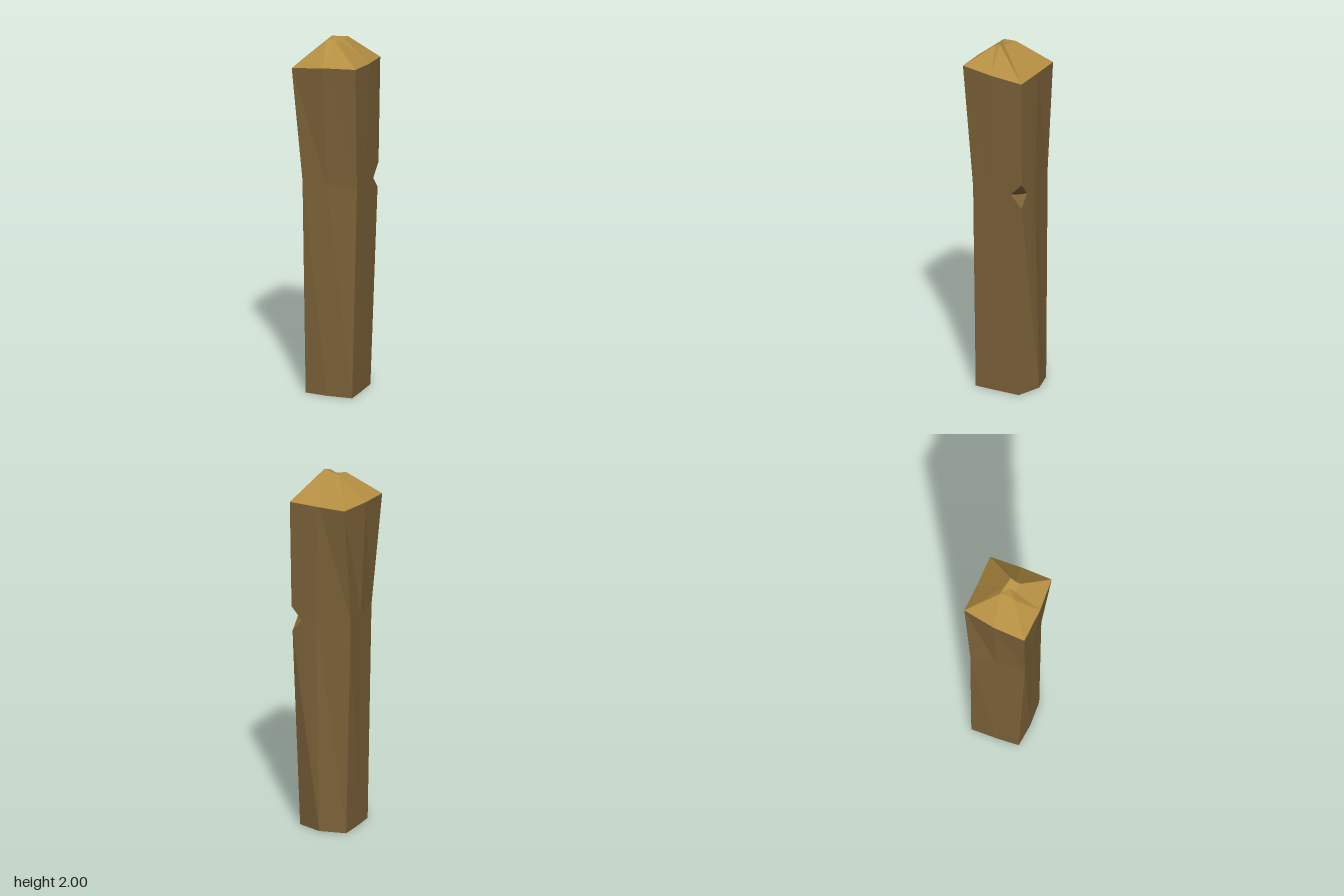
import * as THREE from 'three';

// Rings of eight [x, y, z] points: front left corner, front middle, front right
// corner, right middle, back right corner, back middle, back left corner, left middle
const foot = [[-0.13, 0, 0.12], [0, 0, 0.13], [0.14, 0, 0.12], [0.14, 0, 0],
  [0.137, 0, -0.145], [-0.005, 0, -0.19], [-0.15, 0, -0.15], [-0.142, 0, 0]];
const waist = [[-0.133, 1.21, 0.157], [0, 1.2, 0.142], [0.168, 1.18, 0.12], [0.168, 1.18, 0],
  [0.168, 1.18, -0.18], [0.02, 1.19, -0.178], [-0.175, 1.21, -0.145], [-0.155, 1.21, 0]];
const eave = [[-0.187, 1.845, 0.178], [0, 1.87, 0.188], [0.182, 1.88, 0.175], [0.186, 1.86, 0],
  [0.178, 1.845, -0.185], [0, 1.845, -0.184], [-0.16, 1.85, -0.187], [-0.187, 1.85, 0]];
const tip = [[-0.04, 1.98, 0.048], [0.008, 1.972, 0.033], [0.058, 1.98, 0.046], [0.056, 1.99, 0.018],
  [0.062, 2, -0.011], [0.005, 1.99, -0.024], [-0.038, 1.985, -0.028], [-0.036, 1.985, 0]];

// Notch on the back right corner edge
const notch = {
  top: [0.169, 1.25, -0.182], bottom: [0.165, 1.11, -0.178],
  side: [0.167, 1.18, -0.112], back: [0.108, 1.18, -0.18], inner: [0.125, 1.17, -0.135],
};

// Flat-shaded mesh from polygons, each split as a fan from its first corner
function polyMesh(name, polygons, color) {
  const pos = [];
  for (const p of polygons) {
    for (let i = 1; i < p.length - 1; i++) pos.push(...p[0], ...p[i], ...p[i + 1]);
  }
  const geo = new THREE.BufferGeometry();
  geo.setAttribute('position', new THREE.Float32BufferAttribute(pos, 3));
  geo.computeVertexNormals();
  const mesh = new THREE.Mesh(geo, new THREE.MeshStandardMaterial({ color, flatShading: true }));
  mesh.name = name;
  return mesh;
}

// Polygons joining a lower ring to an upper ring
function band(low, up) {
  return low.map((a, i) => {
    const j = (i + 1) % low.length;
    return [up[i], a, low[j], up[j]];
  });
}

export function createModel() {
  const group = new THREE.Group();
  group.name = 'woodenPost';

  // Shaft: two bands, with the four faces beside the notch cut around it
  const lower = band(foot, waist);
  const upper = band(waist, eave);
  const { top, bottom, side, back, inner } = notch;
  lower[3] = [foot[3], foot[4], bottom, side, waist[3]];
  lower[4] = [foot[5], waist[5], back, bottom, foot[4]];
  upper[3] = [eave[3], waist[3], side, top, eave[4]];
  upper[4] = [eave[5], eave[4], top, back, waist[5]];
  const underside = [[...foot].reverse()];
  group.add(polyMesh('shaft', [...lower, ...upper, ...underside], 0x7d6339));

  // Notch walls
  const rim = [top, side, bottom, back];
  group.add(polyMesh('notch', rim.map((p, i) => [p, rim[(i + 1) % 4], inner]), 0x7d6339));

  // Sharpened head with a small blunt tip
  const centre = [0.008, 1.983, 0.005];
  const blunt = tip.map((p, i) => [p, tip[(i + 1) % 8], centre]);
  group.add(polyMesh('head', [...band(eave, tip), ...blunt], 0xb58f42));

  return group;
}
